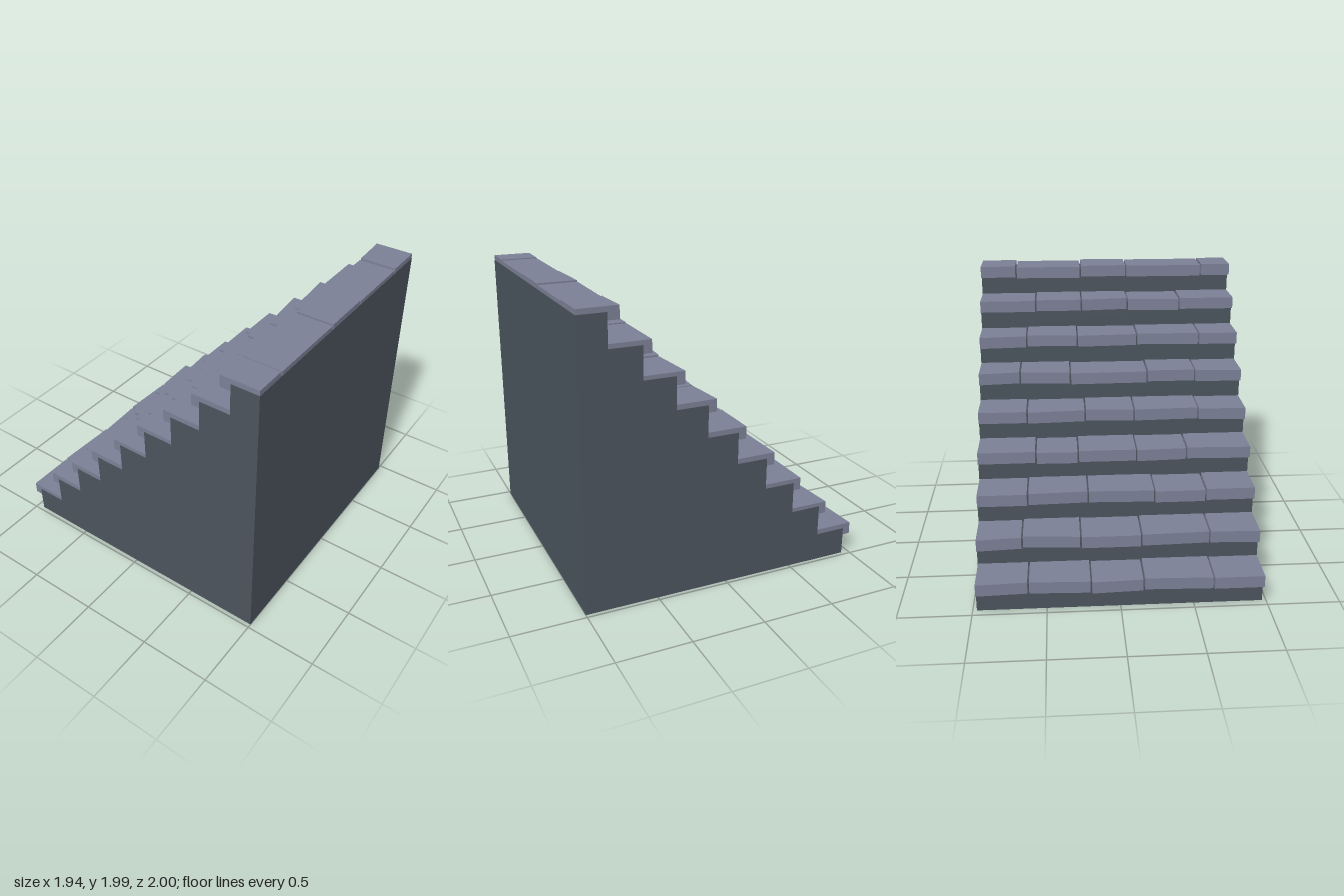
import * as THREE from 'three';

const HALF = 0.972, STEPS = 9, RISE = 0.2194, RUN = 0.2189, BASE = 0.195, START = -0.945;
const GAP = 0.006, SKIN = 0.002;

// per step, bottom to top: joint positions, and nosing z at the ends and joints
const ROWS = [
  { joints: [-0.625, -0.155, 0.2, 0.62], edge: [-1, -1, -0.985, -1, -0.985, -1] },
  { joints: [-0.625, -0.155, 0.26, 0.66], edge: [-0.785, -0.77, -0.785, -0.785, -0.76, -0.78] },
  { joints: [-0.625, -0.265, 0.2, 0.62], edge: [-0.56, -0.56, -0.56, -0.545, -0.56, -0.56] },
  { joints: [-0.515, -0.155, 0.26, 0.56], edge: [-0.345, -0.33, -0.345, -0.345, -0.34, -0.345] },
  { joints: [-0.625, -0.155, 0.2, 0.62], edge: [-0.125, -0.11, -0.125, -0.105, -0.125, -0.125] },
  { joints: [-0.625, -0.27, 0.3, 0.67], edge: [0.092, 0.105, 0.105, 0.095, 0.12, 0.092] },
  { joints: [-0.68, -0.21, 0.24, 0.62], edge: [0.312, 0.315, 0.335, 0.315, 0.335, 0.312] },
  { joints: [-0.555, -0.155, 0.2, 0.55], edge: [0.53, 0.535, 0.56, 0.53, 0.53, 0.53] },
  { joints: [-0.745, -0.155, 0.2, 0.7], edge: [0.73, 0.735, 0.74, 0.73, 0.74, 0.73] },
];
// small height differences between neighbouring slabs
const DROP = [0, 0.005, 0, 0.008, 0];

const riserZ = (i) => START + RUN * i;
const stepY = (i) => BASE + RISE * i;

function extrude(points, depth) {
  const shape = new THREE.Shape(points.map(([x, y]) => new THREE.Vector2(x, y)));
  return new THREE.ExtrudeGeometry(shape, { depth, bevelEnabled: false });
}

export function createModel() {
  const group = new THREE.Group();
  group.name = 'staircase';
  const bodyMat = new THREE.MeshStandardMaterial({ name: 'dark stone', color: 0x4b545d });
  const slabMat = new THREE.MeshStandardMaterial({ name: 'slate slab', color: 0x7b8096 });

  // solid stepped core, profile in z and y
  const profile = [[1, 0], [1, stepY(STEPS - 1)]];
  for (let i = STEPS - 1; i >= 0; i--) {
    profile.push([riserZ(i), stepY(i)], [riserZ(i), i ? stepY(i - 1) : 0]);
  }
  const core = new THREE.Mesh(extrude(profile, HALF * 2), bodyMat);
  core.geometry.rotateY(-Math.PI / 2).translate(HALF, 0, 0);
  core.name = 'steppedCore';
  group.add(core);

  // overhanging tread slabs with uneven nosing
  ROWS.forEach(({ joints, edge }, i) => {
    const tread = new THREE.Group();
    tread.name = `tread${i + 1}`;
    const xs = [-HALF, ...joints, HALF];
    const back = i < STEPS - 1 ? riserZ(i + 1) + 0.01 : 1 - SKIN;
    for (let k = 0; k < xs.length - 1; k++) {
      const x0 = xs[k] + (k ? GAP : SKIN);
      const x1 = xs[k + 1] - (k < xs.length - 2 ? GAP : SKIN);
      const outline = [[x0, -back], [x1, -back], [x1, -edge[k + 1]], [x0, -edge[k]]];
      const slab = new THREE.Mesh(extrude(outline, 0.085), slabMat);
      const drop = DROP[(k + (STEPS - 1 - i) * 2) % DROP.length];
      slab.geometry.rotateX(-Math.PI / 2).translate(0, stepY(i) - 0.05 - drop, 0);
      slab.name = `slab${k + 1}`;
      tread.add(slab);
    }
    group.add(tread);
  });
  return group;
}
